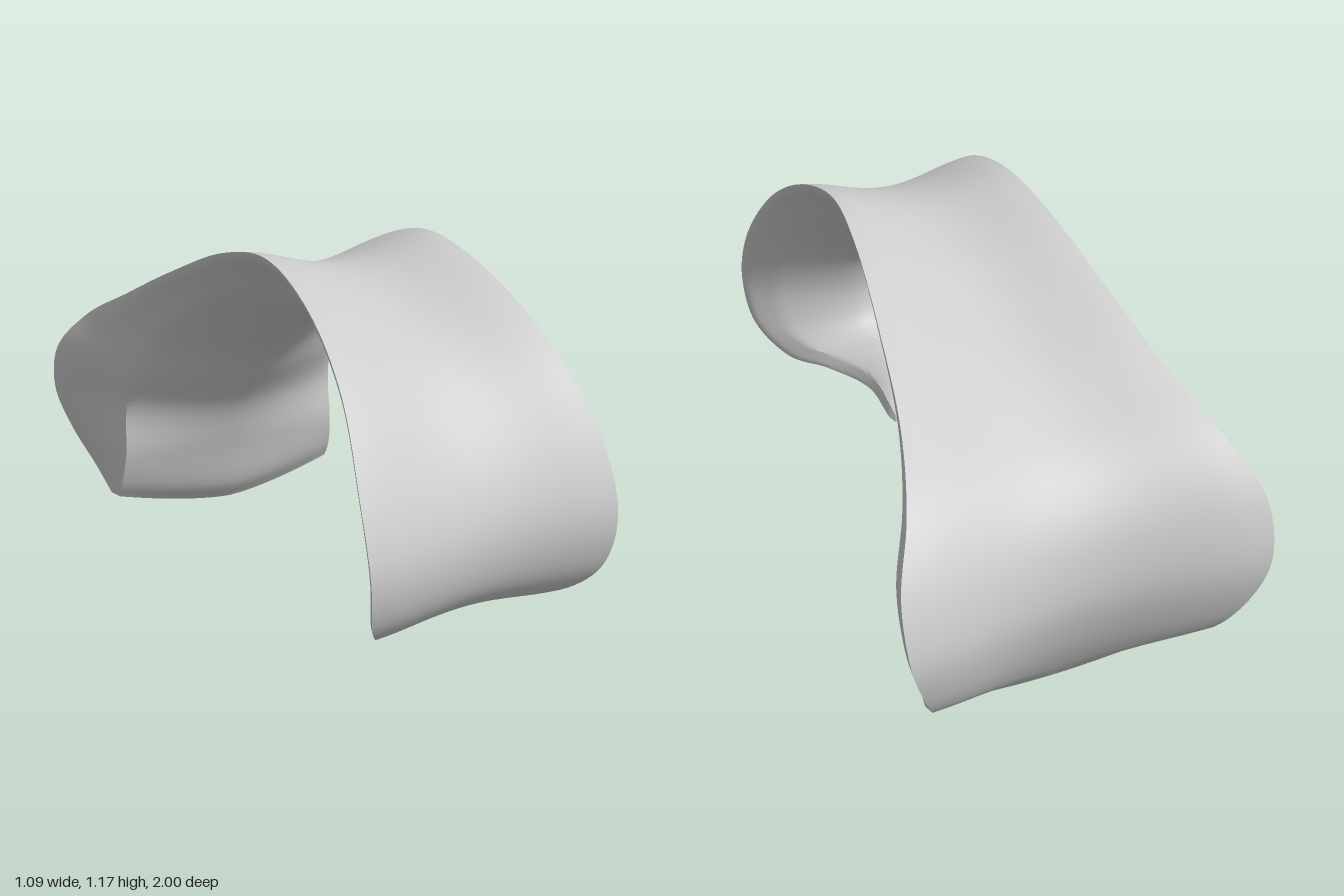
import * as THREE from 'three';
import { toCreasedNormals } from 'three/addons/utils/BufferGeometryUtils.js';

// Guide lines running from the back foot, over the arch, to the front tongue.
// Edge lines hold [x, y, z]; centre lines hold [y, z].
const OUTER_EDGE = [
  [.42, .075, -.80], [.44, .15, -.90], [.495, .28, -.97], [.54, .43, -.995], [.54, .60, -.94],
  [.47, .745, -.81], [.40, .865, -.60], [.35, 1, -.33], [.305, 1.13, -.02], [.285, 1.17, .22],
  [.30, 1.10, .51], [.335, .95, .76], [.375, .74, .93], [.38, .55, 1], [.355, .39, .965],
  [.27, .29, .85], [.17, .295, .70], [.075, .28, .53], [.05, .225, .42], [.035, .21, .40],
];
// Crease where the sloping rim band meets the inner face
const INNER_EDGE = [
  [.41, .08, -.74], [.41, .14, -.71], [.40, .26, -.68], [.39, .43, -.68], [.37, .57, -.61],
  [.34, .70, -.53], [.31, .81, -.41], [.265, .95, -.20], [.22, 1.045, .03], [.20, 1.075, .22],
  [.21, 1.015, .47], [.24, .87, .70], [.275, .70, .855], [.285, .54, .91], [.27, .41, .88],
  [.22, .35, .80], [.14, .34, .68], [.065, .325, .53], [.045, .27, .425], [.033, .235, .40],
];
const OUTER_CENTRE = [
  [0, -.75], [.08, -.80], [.22, -.86], [.38, -.89], [.55, -.855],
  [.68, -.76], [.80, -.58], [.94, -.31], [1.07, -.01], [1.11, .22],
  [1.05, .49], [.91, .72], [.72, .88], [.54, .95], [.39, .925],
  [.31, .84], [.31, .70], [.295, .55], [.235, .44], [.21, .405],
];
const INNER_CENTRE = [
  [.01, -.71], [.08, -.665], [.25, -.62], [.42, -.565], [.56, -.46],
  [.66, -.37], [.75, -.26], [.85, -.10], [.91, .10], [.927, .26],
  [.89, .44], [.80, .62], [.67, .76], [.53, .80], [.43, .77],
  [.385, .71], [.375, .62], [.365, .54], [.30, .435], [.235, .40],
];

const STEPS = 152;  // sections along the arch
const ACROSS = 20;  // divisions across each face
const RIM = 6;      // divisions across each rim band

const edgeCurve = (pts) => new THREE.CatmullRomCurve3(pts.map((p) => new THREE.Vector3(...p)));
const centreCurve = (pts) => new THREE.CatmullRomCurve3(pts.map(([y, z]) => new THREE.Vector3(0, y, z)));

// Rise from the centre line to the edge: flaring then levelling outside, wedge-like inside
const outerRise = (s) => s * s * (1.8 - 0.8 * s * s);
const innerRise = (s) => Math.abs(s) ** 1.5;

// Point on a curved face: s = -1..1 from right edge to left edge
function facePoint(edge, centre, s, rise) {
  const p = centre.clone().lerp(edge, rise(s));
  p.x = edge.x * s;
  return p;
}

// Closed cross-section: outer face, left rim, inner face, right rim
function section(oe, oc, ie, ic) {
  const ring = [];
  for (let j = 0; j <= ACROSS; j++) ring.push(facePoint(oe, oc, (2 * j) / ACROSS - 1, outerRise));
  const rim = [];
  for (let j = 1; j < RIM; j++) {
    const p = oe.clone().lerp(ie, j / RIM);
    // rounded lip, fullest near the outer edge
    p.x += Math.sin(Math.PI * Math.sqrt(j / RIM)) * 0.12 * (oe.x - ie.x);
    rim.push(p);
  }
  ring.push(...rim);
  for (let j = 0; j <= ACROSS; j++) ring.push(facePoint(ie, ic, 1 - (2 * j) / ACROSS, innerRise));
  for (const p of rim.slice().reverse()) ring.push(new THREE.Vector3(-p.x, p.y, p.z));
  return ring;
}

function archGeometry() {
  const oe = edgeCurve(OUTER_EDGE), ie = edgeCurve(INNER_EDGE);
  const oc = centreCurve(OUTER_CENTRE), ic = centreCurve(INNER_CENTRE);
  const positions = [], index = [];
  let n = 0;
  for (let i = 0; i <= STEPS; i++) {
    const t = i / STEPS;
    const ring = section(oe.getPoint(t), oc.getPoint(t), ie.getPoint(t), ic.getPoint(t));
    n = ring.length;
    ring.forEach((p) => positions.push(p.x, p.y, p.z));
  }
  for (let i = 0; i < STEPS; i++) {
    for (let j = 0; j < n; j++) {
      const a = i * n + j, b = i * n + ((j + 1) % n);
      index.push(a, a + n, b, b, a + n, b + n);
    }
  }
  // End caps: strips joining the outer face to the inner face
  const half = n / 2;
  const last = STEPS * n;
  const partner = (j) => 2 * ACROSS + RIM - j; // inner point opposite outer point j
  for (let j = 0; j < ACROSS; j++) {
    const a = j, b = j + 1, c = partner(j), d = partner(j + 1);
    index.push(a, b, c, b, d, c);
    index.push(last + a, last + c, last + b, last + b, last + c, last + d);
  }
  // Small fans closing the rounded rims at both ends
  for (let j = ACROSS; j < ACROSS + RIM - 1; j++) {
    const l = ACROSS + RIM, r = 0;
    const k = j + half;
    index.push(l, j, j + 1, r, k, (k + 1) % n);
    index.push(last + l, last + j + 1, last + j, last + r, last + ((k + 1) % n), last + k);
  }
  const geometry = new THREE.BufferGeometry();
  geometry.setAttribute('position', new THREE.Float32BufferAttribute(positions, 3));
  geometry.setIndex(index);
  return toCreasedNormals(geometry, Math.PI / 5);
}

export function createModel() {
  const group = new THREE.Group();
  group.name = 'saddleArch';
  const material = new THREE.MeshStandardMaterial({ color: 0xcccccc, side: THREE.DoubleSide });
  const arch = new THREE.Mesh(archGeometry(), material);
  arch.name = 'curvedBand';
  group.add(arch);
  return group;
}
